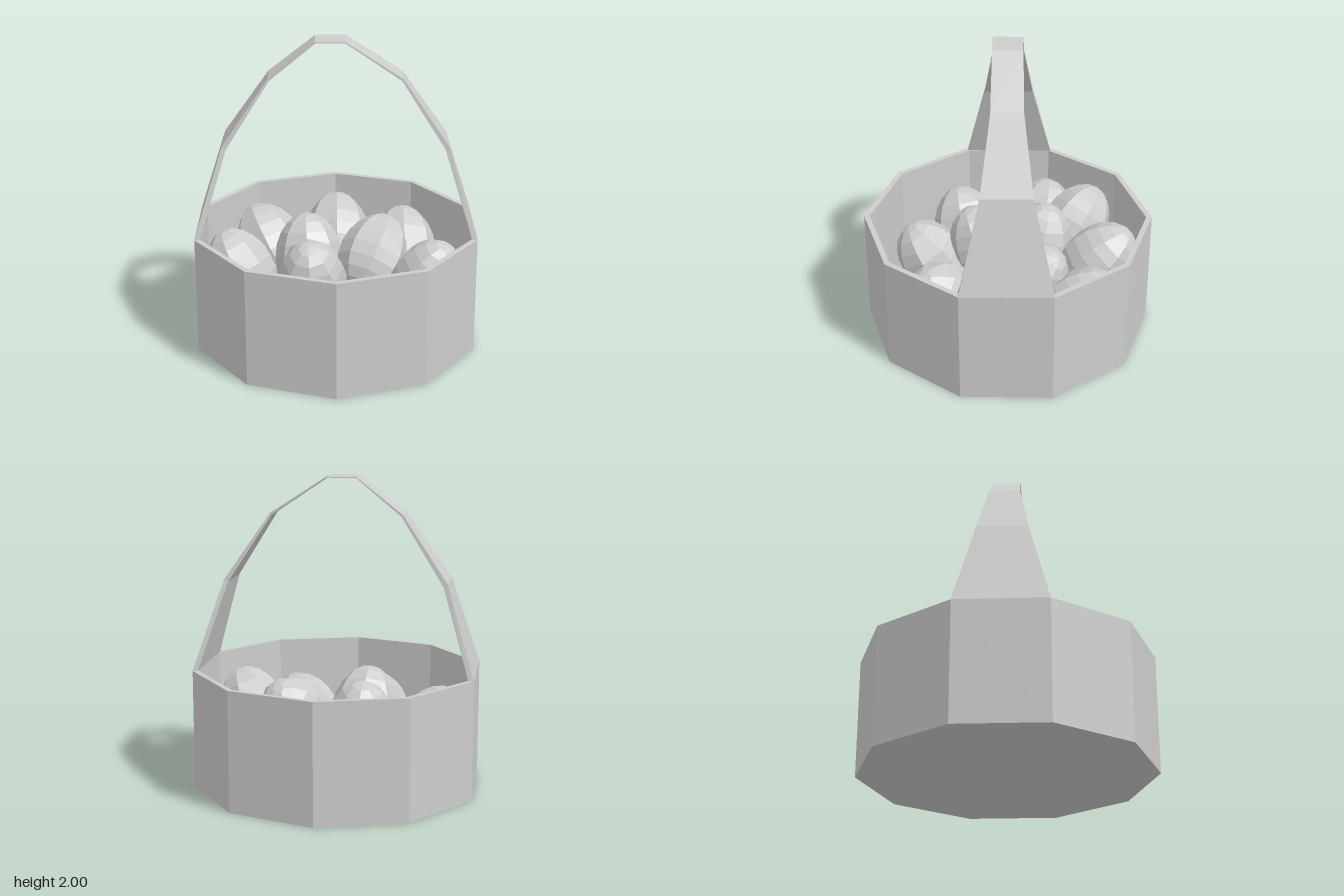
import * as THREE from 'three';

const grey = new THREE.MeshStandardMaterial({ color: 0xcccccc, flatShading: true });
grey.name = 'plain grey';

function part(name, geometry, parent) {
  const mesh = new THREE.Mesh(geometry, grey);
  mesh.name = name;
  parent.add(mesh);
  return mesh;
}

// Ten-sided tub with a thin wall and a floor
function tubGeometry() {
  const profile = [[0, 0], [0.94, 0], [0.94, 0.77], [0.903, 0.77], [0.903, 0.04], [0, 0.04]];
  return new THREE.LatheGeometry(profile.map(([r, y]) => new THREE.Vector2(r, y)), 10);
}

// Tapering band swept over the arch: outer x, outer y, inner x, inner y, half width
function handleGeometry() {
  const sections = [
    [0.894, 0.77, 0.86, 0.77, 0.29],
    [0.71, 1.347, 0.685, 1.33, 0.16],
    [0.42, 1.768, 0.41, 1.757, 0.1],
    [0.063, 2, 0.06, 1.994, 0.095],
    [-0.13, 2, -0.127, 1.994, 0.095],
    [-0.425, 1.768, -0.415, 1.757, 0.1],
    [-0.715, 1.347, -0.688, 1.33, 0.16],
    [-0.894, 0.77, -0.86, 0.77, 0.29],
  ].map(([ox, oy, ix, iy, w]) => [[ox, oy, w], [ox, oy, -w], [ix, iy, -w], [ix, iy, w]]);
  const positions = [];
  for (let i = 0; i < sections.length - 1; i++) {
    const a = sections[i], b = sections[i + 1];
    for (let k = 0; k < 4; k++) {
      const n = (k + 1) % 4;
      for (const p of [a[k], a[n], b[n], a[k], b[n], b[k]]) positions.push(...p);
    }
  }
  const geometry = new THREE.BufferGeometry();
  geometry.setAttribute('position', new THREE.Float32BufferAttribute(positions, 3));
  geometry.computeVertexNormals();
  return geometry;
}

// Faceted egg, a little narrower toward its tip
function eggGeometry() {
  const geometry = new THREE.SphereGeometry(1, 8, 10);
  const p = geometry.attributes.position;
  for (let i = 0; i < p.count; i++) {
    const y = p.getY(i), r = 0.226 * (1 - 0.07 * y);
    p.setXYZ(i, p.getX(i) * r, y * 0.29, p.getZ(i) * r);
  }
  geometry.computeVertexNormals();
  return geometry;
}

// Egg centres x, y, z and the sideways lean of each tip in x, z
const EGGS = [
  [0.01, 0.45, -0.6, 0, -0.2],
  [-0.45, 0.43, -0.465, -0.13, -0.15],
  [0.465, 0.4, -0.465, 0, -0.19],
  [-0.18, 0.45, -0.2, -0.02, -0.08],
  [0.25, 0.48, -0.15, 0.11, -0.18],
  [-0.64, 0.34, -0.23, -0.13, -0.06],
  [-0.58, 0.31, 0.3, -0.14, 0.06],
  [-0.155, 0.45, 0.16, -0.02, 0.12],
  [-0.185, 0.32, 0.52, 0, 0.15],
  [0.29, 0.34, 0.415, 0.13, 0.13],
  [0.59, 0.43, 0.13, 0.12, 0.06],
];

export function createModel() {
  const model = new THREE.Group();
  model.name = 'eggBasket';
  part('basketTub', tubGeometry(), model);
  part('handle', handleGeometry(), model);

  const eggs = new THREE.Group();
  eggs.name = 'eggs';
  model.add(eggs);
  const shape = eggGeometry();
  const up = new THREE.Vector3(0, 1, 0);
  EGGS.forEach(([x, y, z, dx, dz], i) => {
    const egg = part(`egg${i + 1}`, shape, eggs);
    const axis = new THREE.Vector3(dx, Math.sqrt(0.29 ** 2 - dx * dx - dz * dz), dz).normalize();
    egg.position.set(x, y, z);
    egg.quaternion.setFromUnitVectors(up, axis);
  });
  return model;
}
